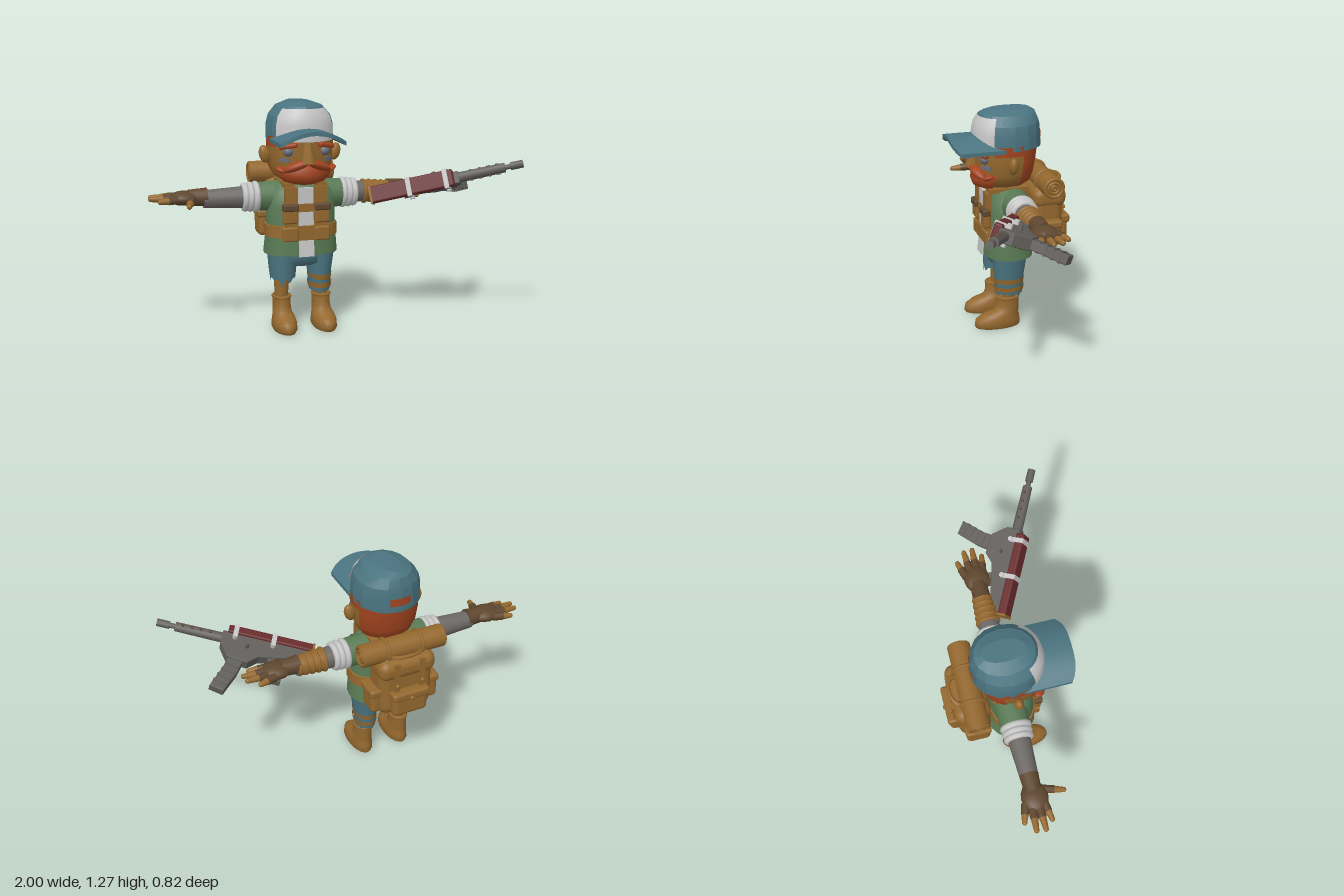
import * as THREE from 'three';
import { toCreasedNormals } from 'three/addons/utils/BufferGeometryUtils.js';
import { RoundedBoxGeometry } from 'three/addons/geometries/RoundedBoxGeometry.js';

const mat = (name, color) => Object.assign(new THREE.MeshStandardMaterial({ color, side: THREE.DoubleSide }), { name });
const V = (x, y, z) => new THREE.Vector3(x, y, z);

export function createModel() {
  const tan = mat('tan', 0x94682e), teal = mat('teal', 0x4a7480), orange = mat('orange hair', 0xa3441f);
  const white = mat('white', 0xc6c6c6), green = mat('green', 0x597a54), grey = mat('grey cloth', 0x6c6866);
  const steel = mat('steel', 0x615e5b), brown = mat('dark brown', 0x5f472f), maroon = mat('maroon', 0x672a2b);
  const slate = mat('slate', 0x686d7c);

  const group = (parent, name) => {
    const g = new THREE.Group();
    g.name = name;
    parent.add(g);
    return g;
  };
  const add = (parent, name, geo, m, p = [0, 0, 0], r = [0, 0, 0], s = [1, 1, 1]) => {
    const mesh = new THREE.Mesh(geo, m);
    mesh.name = name;
    mesh.position.set(...p);
    mesh.rotation.set(...r);
    mesh.scale.set(...s);
    parent.add(mesh);
    return mesh;
  };
  const box = (parent, name, m, p, size, r) => add(parent, name, new THREE.BoxGeometry(...size), m, p, r);
  const soft = (parent, name, m, p, size, rad = 0.02, r) => add(parent, name, new RoundedBoxGeometry(...size, 3, rad), m, p, r);
  const ball = (parent, name, m, p, s, r) => add(parent, name, new THREE.SphereGeometry(1, 16, 12), m, p, r, s);
  const ringX = (parent, name, m, p, rad, tube) => add(parent, name, new THREE.TorusGeometry(rad, tube, 8, 24), m, p, [0, Math.PI / 2, 0]);
  // Tapered cylinder between two points
  const rod = (parent, name, m, a, b, r0, r1 = r0, seg = 16) => {
    const A = V(...a), B = V(...b);
    const mesh = add(parent, name, new THREE.CylinderGeometry(r1, r0, A.distanceTo(B), seg), m);
    mesh.position.copy(A).lerp(B, 0.5);
    mesh.quaternion.setFromUnitVectors(V(0, 1, 0), B.sub(A).normalize());
    return mesh;
  };
  // Skin over oval sections [y, z centre, x radius, z radius]; angles run from the front
  const loft = (rows, { x = 0, seg = 20, mid = 0, half = Math.PI, grow = 1, square = 1, caps = false, jag = 0, crease = 0.6 } = {}) => {
    const r = caps ? [[...rows[0].slice(0, 2), 0.001, 0.001], ...rows, [...rows.at(-1).slice(0, 2), 0.001, 0.001]] : rows;
    const pos = [], idx = [];
    const pw = (v) => Math.sign(v) * Math.abs(v) ** square;
    r.forEach(([y, cz, rx, rz], i) => {
      for (let j = 0; j <= seg; j++) {
        const t = mid - half + (2 * half * j) / seg;
        const dy = i === 0 && j % 2 ? -jag * (1 + Math.sin(j * 2.3)) : 0;
        pos.push(x + pw(Math.sin(t)) * rx * grow, y + dy, cz + pw(Math.cos(t)) * rz * grow);
        if (i && j) {
          const d = i * (seg + 1) + j, c = d - 1, b = d - seg - 1, a = b - 1;
          idx.push(a, b, d, a, d, c);
        }
      }
    });
    const g = new THREE.BufferGeometry();
    g.setAttribute('position', new THREE.Float32BufferAttribute(pos, 3));
    g.setIndex(idx);
    return toCreasedNormals(g, crease);
  };

  const model = new THREE.Group();
  model.name = 'adventurer';
  const body = group(model, 'body');
  body.position.x = -0.165;

  // Boots and bare shins
  for (const s of [-1, 1]) {
    const x = s * 0.115;
    add(body, 'boot', loft([[0, 0.035, 0.06, 0.13], [0.015, 0.037, 0.068, 0.138], [0.05, 0.036, 0.066, 0.132],
      [0.075, 0.02, 0.06, 0.11], [0.095, -0.015, 0.053, 0.075], [0.13, -0.024, 0.05, 0.066], [0.18, -0.025, 0.051, 0.066]],
      { x, caps: true, crease: 0.9 }), tan);
    add(body, 'bootCuff', new THREE.TorusGeometry(0.047, 0.009, 6, 24), tan, [x, 0.178, -0.025], [Math.PI / 2, 0, 0], [1, 1.25, 1]);
    rod(body, 'shin', tan, [x, 0.16, -0.03], [x * 0.95, 0.36, -0.04], 0.036, 0.05);
  }

  // Torn shorts: short right leg, long patched left leg
  add(body, 'shortsSeat', loft([[0.355, -0.04, 0.1, 0.07], [0.375, -0.042, 0.176, 0.1], [0.42, -0.045, 0.181, 0.108], [0.48, -0.045, 0.18, 0.11]], { crease: 1 }), teal);
  add(body, 'shortsRightLeg', loft([[0.29, -0.035, 0.071, 0.088], [0.35, -0.038, 0.078, 0.095], [0.43, -0.04, 0.084, 0.1]], { x: -0.105, jag: 0.022 }), teal);
  add(body, 'shortsLeftLeg', loft([[0.205, -0.035, 0.058, 0.078], [0.25, -0.035, 0.062, 0.083], [0.32, -0.035, 0.068, 0.088], [0.43, -0.04, 0.085, 0.1]], { x: 0.108, jag: 0.008 }), teal);
  for (const y of [0.222, 0.27])
    add(body, 'shortsTear', loft([[y, -0.035, 0.064, 0.085], [y + 0.03, -0.035, 0.068, 0.089]], { x: 0.109 }), tan);

  // Vest, belt and chest harness
  add(body, 'vestHem', loft([[0.43, -0.045, 0.208, 0.145], [0.54, -0.035, 0.198, 0.13]], { square: 0.8 }), green);
  add(body, 'belt', loft([[0.53, -0.035, 0.2, 0.13], [0.532, -0.035, 0.206, 0.136], [0.598, -0.035, 0.204, 0.132], [0.6, -0.035, 0.19, 0.12]], { square: 0.8 }), tan);
  add(body, 'vest', loft([[0.59, -0.035, 0.195, 0.126], [0.7, -0.035, 0.193, 0.122], [0.78, -0.04, 0.185, 0.11], [0.82, -0.045, 0.15, 0.09], [0.84, -0.045, 0.08, 0.07]],
    { square: 0.8, caps: true, crease: 0.8 }), green);
  box(body, 'shirtFront', white, [0, 0.475, 0.095], [0.085, 0.1, 0.02], [-0.12, 0, 0]);
  box(body, 'shirtFront', white, [0, 0.7, 0.085], [0.085, 0.22, 0.02]);
  for (const s of [-1, 1]) {
    box(body, 'harnessStrap', tan, [s * 0.082, 0.69, 0.084], [0.07, 0.25, 0.03]);
    box(body, 'shoulderStrap', tan, [s * 0.09, 0.825, -0.035], [0.06, 0.025, 0.23]);
    soft(body, 'chestPouch', tan, [s * 0.09, 0.66, 0.095], [0.085, 0.09, 0.04], 0.012);
    soft(body, 'pouchFlap', brown, [s * 0.09, 0.705, 0.1], [0.09, 0.04, 0.045], 0.01);
    soft(body, 'beltPouch', tan, [s * 0.09, 0.555, 0.095], [0.085, 0.08, 0.03], 0.01);
  }
  box(body, 'chestBand', tan, [0, 0.7, 0.092], [0.25, 0.045, 0.02]);
  box(body, 'beltBuckle', tan, [0, 0.56, 0.1], [0.09, 0.08, 0.02]);

  // Head
  const head = group(body, 'head');
  rod(head, 'neck', tan, [0, 0.8, -0.05], [0, 0.9, -0.04], 0.075, 0.085);
  const skull = [[0.84, -0.03, 0.105, 0.115], [0.87, -0.03, 0.15, 0.148], [0.92, -0.032, 0.172, 0.162], [1.0, -0.038, 0.178, 0.17], [1.09, -0.042, 0.178, 0.175]];
  add(head, 'face', loft(skull, { caps: true, square: 0.9, crease: 1 }), tan);
  add(head, 'hair', loft(skull, { mid: Math.PI, half: 1.25, grow: 1.035, square: 0.9, crease: 1 }), orange);
  add(head, 'hairline', loft([[1.035, -0.04, 0.178, 0.173], skull[4]], { mid: Math.PI, half: 2.15, grow: 1.03, square: 0.9 }), orange);
  add(head, 'beard', loft([[0.83, 0.01, 0.08, 0.1], [0.845, 0.005, 0.125, 0.135], [0.88, -0.005, 0.157, 0.157], [0.92, -0.02, 0.168, 0.162], [0.94, -0.03, 0.168, 0.158]],
    { half: 1.15, grow: 1.02, caps: true, crease: 1 }), orange);
  add(head, 'nose', new THREE.CylinderGeometry(0.022, 0.043, 0.115, 8), tan, [0, 1.005, 0.142], [-0.1, 0, 0]);
  for (const s of [-1, 1]) {
    ball(head, 'moustache', orange, [s * 0.062, 0.937, 0.135], [0.078, 0.024, 0.036], [0, s * 0.3, -s * 0.35]);
    ball(head, 'moustacheTip', orange, [s * 0.14, 0.915, 0.095], [0.035, 0.014, 0.025], [0, s * 0.7, s * 0.35]);
    ball(head, 'eye', slate, [s * 0.1, 1.012, 0.102], [0.03, 0.026, 0.026]);
    soft(head, 'eyebrow', orange, [s * 0.105, 1.045, 0.122], [0.1, 0.025, 0.035], 0.01, [0, s * 0.4, -s * 0.15]);
    box(head, 'cheekPaint', slate, [s * 0.122, 0.968, 0.099], [0.06, 0.022, 0.008], [0, s * 0.75, 0]);
    ball(head, 'ear', tan, [s * 0.2, 0.987, -0.033], [0.032, 0.05, 0.026], [0, 0, -s * 0.25]);
  }

  // Cap with white front panel and curved brim
  const cap = group(head, 'cap');
  const crown = [[1.065, -0.05, 0.185, 0.193], [1.15, -0.05, 0.184, 0.191], [1.2, -0.053, 0.17, 0.184], [1.25, -0.06, 0.126, 0.158], [1.273, -0.065, 0.06, 0.115]];
  add(cap, 'crown', loft(crown, { seg: 16, caps: true, square: 0.95, crease: 0.3 }), teal);
  add(cap, 'frontPanel', loft([...crown.slice(0, 3), [1.24, -0.058, 0.137, 0.165]], { seg: 10, half: 0.98, grow: 1.02, square: 0.95 }), white);
  add(cap, 'backOpening', loft([[1.1, -0.05, 0.185, 0.193], [1.145, -0.05, 0.185, 0.192]], { seg: 6, mid: Math.PI, half: 0.32, grow: 1.015 }), orange);
  add(cap, 'backStrap', loft([[1.065, -0.05, 0.185, 0.193], [1.09, -0.05, 0.185, 0.193]], { seg: 10, mid: Math.PI, half: 0.7, grow: 1.025 }), teal);
  const brim = new THREE.BoxGeometry(2, 0.022, 1, 12, 1, 4);
  const bp = brim.attributes.position;
  for (let i = 0; i < bp.count; i++) {
    const u = bp.getX(i), v = bp.getZ(i) + 0.5;
    const z0 = -0.06 + 0.19 * Math.sqrt(1 - 0.9 * u * u);
    bp.setXYZ(i, u * 0.18, 1.128 - 0.062 * u * u + bp.getY(i), z0 + v * (0.293 - 0.04 * u ** 4 - z0));
  }
  add(cap, 'brim', toCreasedNormals(brim, 0.6), teal);

  // Arms stretched sideways; the left forearm is wrapped
  for (const s of [-1, 1]) {
    const arm = group(body, s > 0 ? 'leftArm' : 'rightArm');
    arm.position.set(0, 0.748, -0.06);
    const X = (x) => [s * x, 0, 0];
    rod(arm, 'shortSleeve', green, X(0.1), X(0.25), 0.088, 0.08);
    rod(arm, 'sleeveRoll', white, X(0.24), X(0.325), 0.074, 0.066);
    [0.25, 0.282, 0.312].forEach((x, i) => ringX(arm, 'sleeveFold', white, X(x), 0.07 - i * 0.003, 0.018));
    rod(arm, 'longSleeve', grey, X(0.32), X(0.54), 0.062, 0.05);
    if (s > 0) {
      rod(arm, 'forearmWrap', tan, X(0.37), X(0.53), 0.065, 0.054);
      for (let i = 0; i < 5; i++) ringX(arm, 'wrapBand', tan, X(0.378 + i * 0.036), 0.06 - i * 0.003, 0.011);
    }
    const hand = group(arm, 'hand');
    hand.position.y = 0.012;
    rod(hand, 'gloveCuff', brown, X(0.52), X(0.62), 0.052, 0.045);
    ball(hand, 'palm', brown, X(0.645), [0.085, 0.04, 0.073]);
    [[0.765, 0, -0.085], [0.82, 0.006, -0.035], [0.825, 0.004, 0.015], [0.78, -0.006, 0.06], [0.64, -0.02, 0.16]].forEach(([x, y, z], i) => {
      const base = i < 4 ? V(s * 0.67, 0, z * 0.65) : V(s * 0.61, -0.005, 0.04);
      const tip = V(s * x, y, z), joint = base.clone().lerp(tip, 0.58), r = 0.02;
      rod(hand, 'gloveFinger', brown, base.toArray(), joint.toArray(), 0.024, 0.022, 10);
      rod(hand, 'fingertip', tan, joint.toArray(), tip.toArray(), r, 0.014, 10);
      ball(hand, 'fingerEnd', tan, tip.toArray(), [0.014, 0.014, 0.014]);
    });
  }

  // Backpack with pockets and bedroll
  const pack = group(body, 'backpack');
  soft(pack, 'packBody', tan, [0, 0.65, -0.26], [0.32, 0.37, 0.185], 0.06);
  soft(pack, 'packLid', tan, [0, 0.765, -0.268], [0.335, 0.12, 0.2], 0.05);
  soft(pack, 'rearPocket', tan, [0, 0.56, -0.355], [0.21, 0.155, 0.085], 0.03);
  soft(pack, 'rearPocketFlap', tan, [0, 0.615, -0.36], [0.22, 0.05, 0.092], 0.015);
  ball(pack, 'toggle', tan, [0, 0.6, -0.405], [0.014, 0.014, 0.01]);
  for (const s of [-1, 1]) {
    soft(pack, 'sidePocket', tan, [s * 0.17, 0.565, -0.255], [0.065, 0.15, 0.135], 0.025);
    soft(pack, 'sidePocketFlap', tan, [s * 0.175, 0.62, -0.255], [0.068, 0.045, 0.145], 0.015);
    box(pack, 'sidePocketStrap', tan, [s * 0.206, 0.595, -0.255], [0.01, 0.06, 0.02]);
    box(pack, 'lidStrap', tan, [s * 0.075, 0.72, -0.365], [0.03, 0.2, 0.014]);
    ball(pack, 'strapStud', tan, [s * 0.075, 0.68, -0.376], [0.013, 0.013, 0.01]);
    ringX(pack, 'rollStrap', tan, [s * 0.1, 0.853, -0.258], 0.064, 0.01);
    for (const r of [0.052, 0.03, 0.012]) ringX(pack, 'rollSpiral', tan, [s * 0.24, 0.853, -0.258], r, 0.009);
  }
  rod(pack, 'bedroll', tan, [-0.24, 0.853, -0.258], [0.24, 0.853, -0.258], 0.063, 0.063, 24);
  add(pack, 'handle', new THREE.TorusGeometry(0.05, 0.01, 8, 20, Math.PI), tan, [0, 0.84, -0.32], [-1.2, 0, 0], [1.6, 1, 1]);

  // Rifle lying on its side; local x runs to the muzzle, local y is its top
  const gun = group(model, 'rifle');
  const ax = V(0.856, 0.248, 0.454).normalize();
  const az = ax.clone().cross(V(-0.5, 0.29, 0.82)).normalize();
  gun.quaternion.setFromRotationMatrix(new THREE.Matrix4().makeBasis(ax, az.clone().cross(ax), az));
  gun.position.set(0.985, 0.937, 0.388);
  const plate = (name, m, pts, depth) => {
    const g = new THREE.ExtrudeGeometry(new THREE.Shape(pts.map((p) => new THREE.Vector2(...p))), { depth, bevelEnabled: true, bevelSize: 0.004, bevelThickness: 0.004, bevelSegments: 1 });
    add(gun, name, g.translate(0, 0, -depth / 2), m);
  };
  rod(gun, 'muzzle', steel, [-0.07, 0, 0], [0, 0, 0], 0.022, 0.022, 10);
  rod(gun, 'barrel', steel, [-0.4, 0, 0], [-0.06, 0, 0], 0.014);
  rod(gun, 'barrelShroud', steel, [-0.4, 0, 0], [-0.1, 0, 0], 0.03, 0.027, 10);
  for (let i = 0; i < 4; i++)
    for (const s of [-1, 1]) rod(gun, 'shroudHole', brown, [-0.14 - i * 0.05, 0, s * 0.024], [-0.14 - i * 0.05, 0, s * 0.0305], 0.009, 0.009, 8);
  plate('receiver', steel, [[-0.36, 0.025], [-0.36, -0.05], [-0.41, -0.13], [-0.52, -0.14], [-0.57, -0.09], [-0.68, -0.065], [-0.84, -0.035], [-0.84, 0.025]], 0.06);
  plate('magazine', steel, [[-0.42, -0.11], [-0.405, -0.2], [-0.36, -0.33], [-0.43, -0.345], [-0.475, -0.22], [-0.5, -0.11]], 0.042);
  plate('pistolGrip', steel, [[-0.62, -0.06], [-0.66, -0.21], [-0.71, -0.21], [-0.69, -0.06]], 0.035);
  for (let i = 0; i < 4; i++) box(gun, 'magazineRib', steel, [-0.445 + i * 0.014, -0.18 - i * 0.04, 0], [0.075, 0.01, 0.058], [0, 0, 0.25]);
  rod(gun, 'boltHandle', steel, [-0.5, -0.05, -0.07], [-0.5, -0.05, 0], 0.01);
  soft(gun, 'stock', maroon, [-0.62, 0.043, 0], [0.475, 0.05, 0.095], 0.01);
  box(gun, 'stockEnd', tan, [-0.855, 0.04, 0], [0.012, 0.056, 0.1]);
  for (const x of [-0.635, -0.425]) {
    box(gun, 'clampBand', white, [x, 0.03, 0], [0.026, 0.085, 0.106]);
    rod(gun, 'clampBolt', white, [x, -0.005, -0.062], [x, -0.005, 0.062], 0.014, 0.014, 8);
  }
  return model;
}
